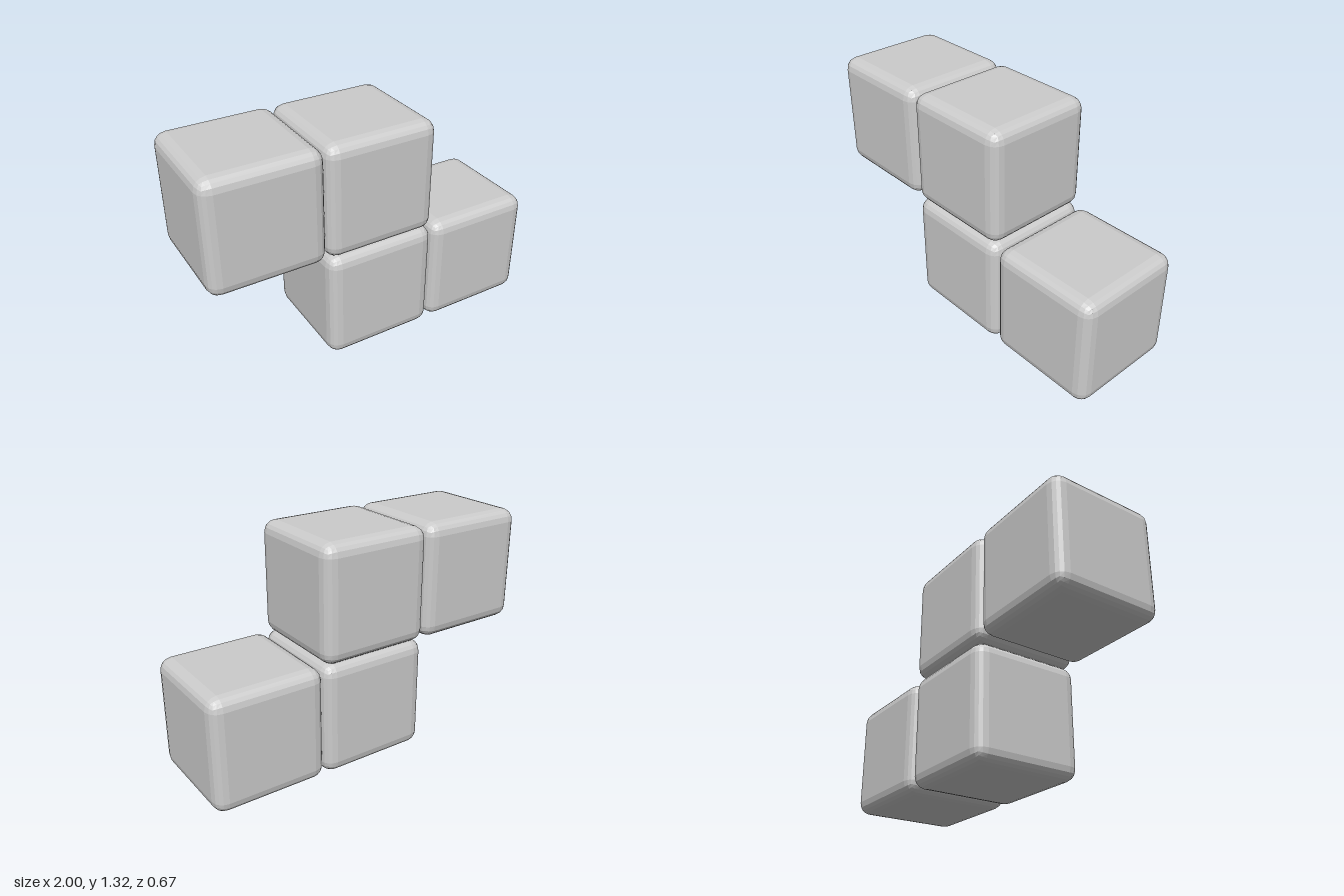
import * as THREE from 'three';
import { RoundedBoxGeometry } from 'three/addons/geometries/RoundedBoxGeometry.js';

export function createModel() {
  const model = new THREE.Group();
  model.name = 'zigzagBlock';
  const material = new THREE.MeshStandardMaterial({ color: 0xcccccc, flatShading: true });

  // One bevelled cube shared by all four cells
  const size = 0.664;
  const cube = new RoundedBoxGeometry(size, size, size, 2, 0.07);

  // Two staggered rows, overlapping in the middle column
  const cells = [
    ['upperLeftCube', -0.668, 0.993, -0.002],
    ['upperMiddleCube', -0.003, 0.993, -0.002],
    ['lowerMiddleCube', 0, 0.334, 0.002],
    ['lowerRightCube', 0.667, 0.334, 0.002],
  ];
  for (const [name, x, y, z] of cells) {
    const mesh = new THREE.Mesh(cube, material);
    mesh.name = name;
    mesh.position.set(x, y, z);
    model.add(mesh);
  }
  return model;
}
